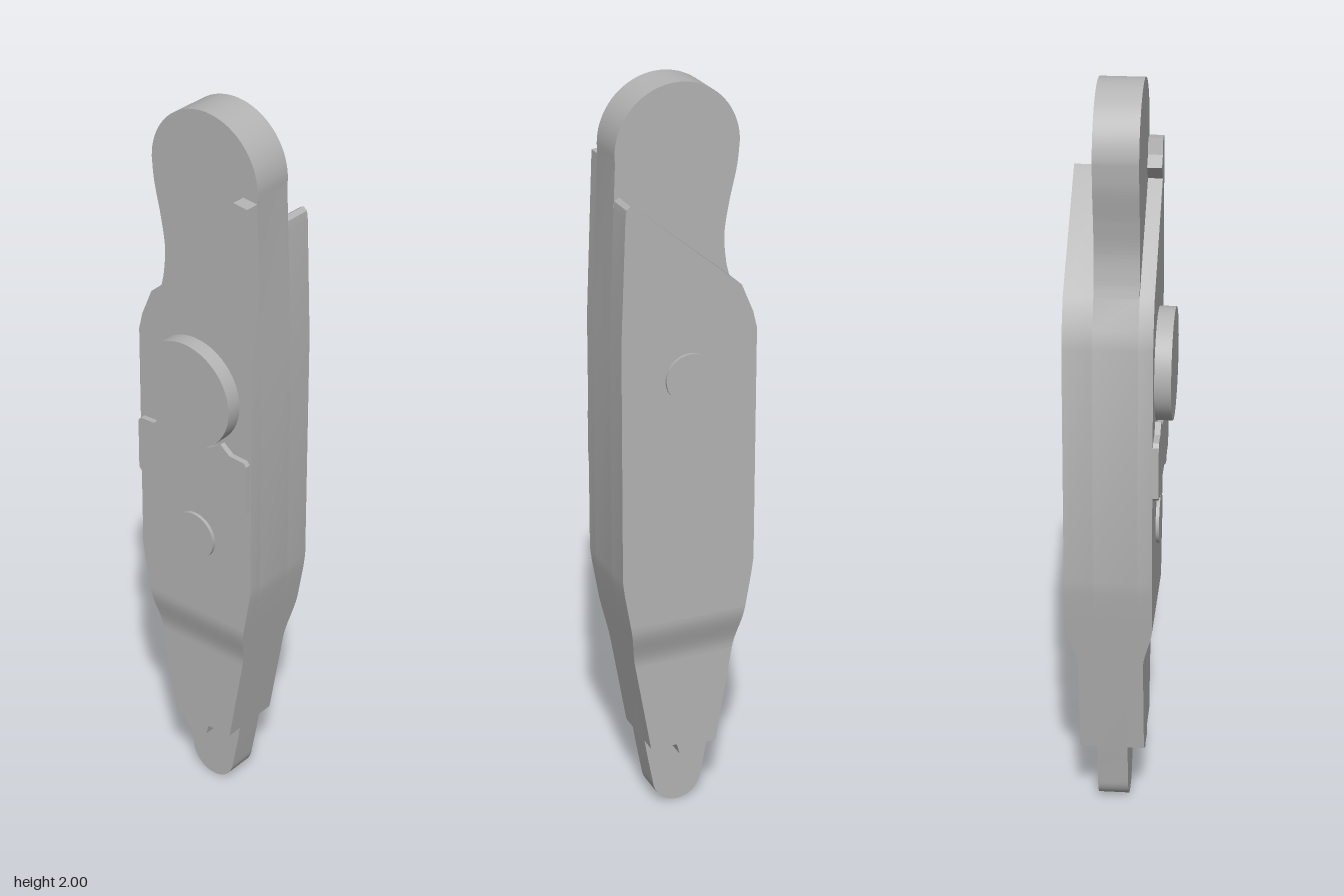
import * as THREE from 'three';
import { toCreasedNormals } from 'three/addons/utils/BufferGeometryUtils.js';

const V = ([x, y]) => new THREE.Vector2(x, y);

export function createModel() {
  const group = new THREE.Group();
  const grey = new THREE.MeshStandardMaterial({ color: 0xb4b4b4 });
  grey.name = 'grey';

  const add = (name, geometry) => {
    const mesh = new THREE.Mesh(geometry, grey);
    mesh.name = name;
    group.add(mesh);
    return mesh;
  };
  // Flat plate between two depths
  const plate = (name, shape, z0, z1) => {
    const g = new THREE.ExtrudeGeometry(shape, { depth: z1 - z0, bevelEnabled: false, curveSegments: 20 });
    g.translate(0, 0, z0);
    return add(name, toCreasedNormals(g, 0.5));
  };
  const poly = (points) => new THREE.Shape(points.map(V));
  // Round button facing along z
  const disc = (name, r, y, z0, z1) => {
    const g = new THREE.CylinderGeometry(r, r, z1 - z0, 48);
    g.rotateX(Math.PI / 2);
    add(name, g).position.set(0, y, (z0 + z1) / 2);
  };

  const yHigh = 0.59, yLow = 0.46, xHigh = 0.161, xLow = 0.138;
  const leftEdge = [[-0.14, 1.49], [-0.172, 1.415], [-0.183, 1.37], [-0.183, 0.73], [-0.178, 0.69], [-xHigh, yHigh]];
  const rightEdge = [[xHigh, yHigh], [0.178, 0.69], [0.183, 0.73], [0.182, 1.38]];

  // Core with the rounded head
  const core = poly([...leftEdge, ...rightEdge, [0.164, 1.815]]);
  core.absarc(0, 1.835, 0.165, 0, Math.PI, false);
  core.splineThru([[-0.158, 1.77], [-0.138, 1.68], [-0.126, 1.6], [-0.131, 1.53], [-0.14, 1.49]].map(V));
  plate('core', core, -0.055, 0.058);

  // Front and back covers, cut diagonally at the top
  plate('frontCover', poly([...leftEdge, ...rightEdge, [0.164, 1.81], [0.122, 1.815], [0.113, 1.775],
    [0.085, 1.75], [0.118, 1.712]]), 0.058, 0.095);
  plate('backCover', poly([...leftEdge, ...rightEdge, [0.169, 1.7], [0.166, 1.723], [0.155, 1.732],
    [0.14, 1.722]]), -0.13, -0.055);

  // Smooth step from the thick body to the thin lower end
  const step = new THREE.BoxGeometry(2, 1, 1, 1, 12, 1);
  const p = step.attributes.position;
  for (let i = 0; i < p.count; i++) {
    const t = p.getY(i) + 0.5;
    const s = t * t * (3 - 2 * t);
    const z = p.getZ(i) > 0 ? 0.07 + 0.025 * s : -0.1 - 0.03 * s;
    p.setXYZ(i, p.getX(i) * (xLow + (xHigh - xLow) * t), yLow + (yHigh - yLow) * t, z);
  }
  step.computeVertexNormals();
  add('bodyStep', step);

  // Lower covers with a notched end
  const lower = () => poly([[xLow, yLow], [-xLow, yLow], [-0.093, 0.19], [-0.063, 0.187], [-0.05, 0.165],
    [-0.02, 0.173], [0.012, 0.17], [0.02, 0.2], [0.094, 0.204]]);
  plate('lowerFrontCover', lower(), 0.026, 0.07);
  plate('lowerBackCover', lower(), -0.1, -0.055);

  // Rounded tip between the lower covers
  const tip = poly([[xLow, yLow], [-xLow, yLow], [-0.093, 0.19], [-0.085, 0.15], [-0.07, 0.07]]);
  tip.bezierCurveTo(-0.06, -0.02, 0.06, -0.02, 0.07, 0.07);
  tip.lineTo(0.085, 0.15);
  tip.lineTo(0.094, 0.204);
  plate('tip', tip, -0.055, 0.026);

  // Raised band with wavy edges under the large button
  const half = [[0.05, 1.118], [0.075, 1.13], [0.095, 1.145], [0.125, 1.122], [0.17, 1.12], [0.178, 1.11],
    [0.178, 0.97], [0.17, 0.962], [0.13, 0.958], [0.1, 0.938], [0.06, 0.958], [0.03, 0.967]];
  const mirrored = half.map(([x, y]) => [-x, y]).reverse();
  plate('band', poly([[0, 1.11], ...half, [0, 0.97], ...mirrored]), 0.09, 0.11);

  // Buttons
  disc('largeButton', 0.144, 1.265, 0.09, 0.137);
  disc('smallFrontButton', 0.065, 0.83, 0.09, 0.104);
  disc('backButton', 0.065, 1.265, -0.137, -0.125);

  return group;
}
